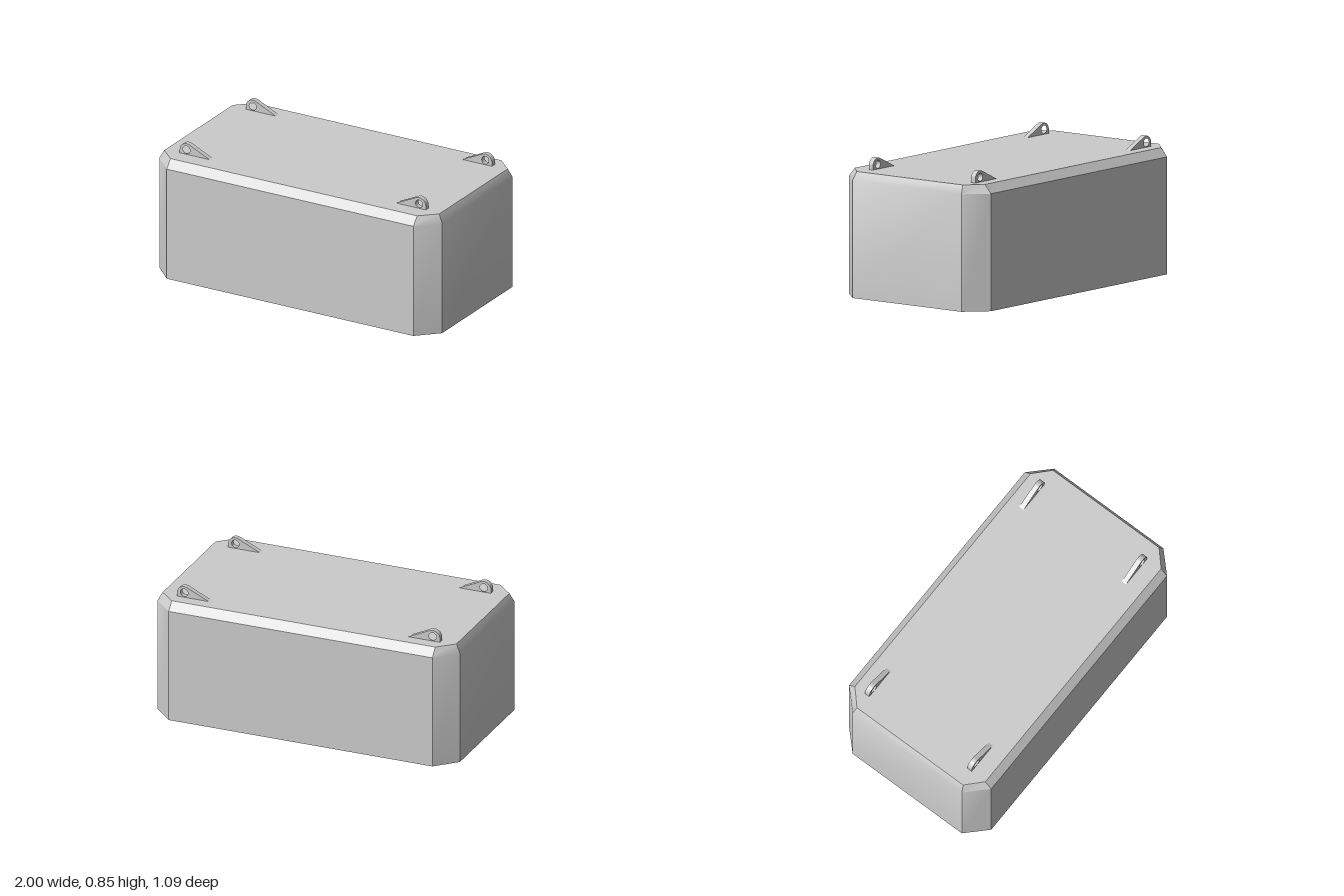
import * as THREE from 'three';
import { toCreasedNormals } from 'three/addons/utils/BufferGeometryUtils.js';

const TOP = 0.777;

// Octagon with cut corners, counter-clockwise seen from above.
// (xs, zs) is the end of the short side, (xl, zl) the end of the long side.
function ring(y, xs, zs, xl, zl) {
  return [[xs, zs], [xs, -zs], [xl, -zl], [-xl, -zl], [-xs, -zs], [-xs, zs], [-xl, zl], [xl, zl]]
    .map(([x, z]) => [x, y, z]);
}

// Hollow cover, open underneath: walls, bevel and flat lid
function coverGeometry() {
  const rings = [
    ring(0, 1, 0.42, 0.872, 0.547),
    ring(0.724, 1, 0.42, 0.872, 0.547),
    ring(TOP, 0.972, 0.408, 0.872, 0.502),
  ];
  const pos = [];
  for (let r = 0; r < 2; r++) {
    for (let i = 0; i < 8; i++) {
      const j = (i + 1) % 8;
      const [a, b, c, d] = [rings[r][i], rings[r][j], rings[r + 1][j], rings[r + 1][i]];
      pos.push(...a, ...b, ...c, ...a, ...c, ...d);
    }
  }
  const lid = rings[2];
  for (let i = 1; i < 7; i++) pos.push(...lid[0], ...lid[i], ...lid[i + 1]);
  const geometry = new THREE.BufferGeometry();
  geometry.setAttribute('position', new THREE.Float32BufferAttribute(pos, 3));
  return toCreasedNormals(geometry, 0.54);
}

// Lifting lug: rounded eye with a sloping tail towards the middle (side = +1 or -1)
function lugGeometry(side) {
  const cx = 0.822, cy = 0.8, r = 0.048, depth = 0.033;
  const pts = [[0.66, TOP], [cx + r, TOP]];
  for (let i = 0; i <= 14; i++) {
    const a = (i / 14) * THREE.MathUtils.degToRad(116);
    pts.push([cx + r * Math.cos(a), cy + r * Math.sin(a)]);
  }
  const shape = new THREE.Shape(pts.map(([x, y]) => new THREE.Vector2(side * x, y)));
  shape.holes.push(new THREE.Path().absarc(side * cx, 0.807, 0.025, 0, Math.PI * 2, true));
  const geometry = new THREE.ExtrudeGeometry(shape, { depth, bevelEnabled: false, curveSegments: 10 });
  geometry.translate(0, 0, -depth / 2);
  return toCreasedNormals(geometry, 0.7);
}

export function createModel() {
  const model = new THREE.Group();
  model.name = 'liftingCover';
  const material = new THREE.MeshStandardMaterial({ color: 0xcccccc });
  const shellMaterial = new THREE.MeshStandardMaterial({ color: 0xcccccc, side: THREE.DoubleSide });

  const cover = new THREE.Mesh(coverGeometry(), shellMaterial);
  cover.name = 'coverShell';
  model.add(cover);

  // Four lugs near the corners of the lid
  for (const side of [-1, 1]) {
    const geometry = lugGeometry(side);
    for (const [end, z] of [['front', 0.379], ['back', -0.409]]) {
      const lug = new THREE.Mesh(geometry, material);
      lug.name = end + (side > 0 ? 'Left' : 'Right') + 'Lug';
      lug.position.z = z;
      model.add(lug);
    }
  }
  return model;
}
